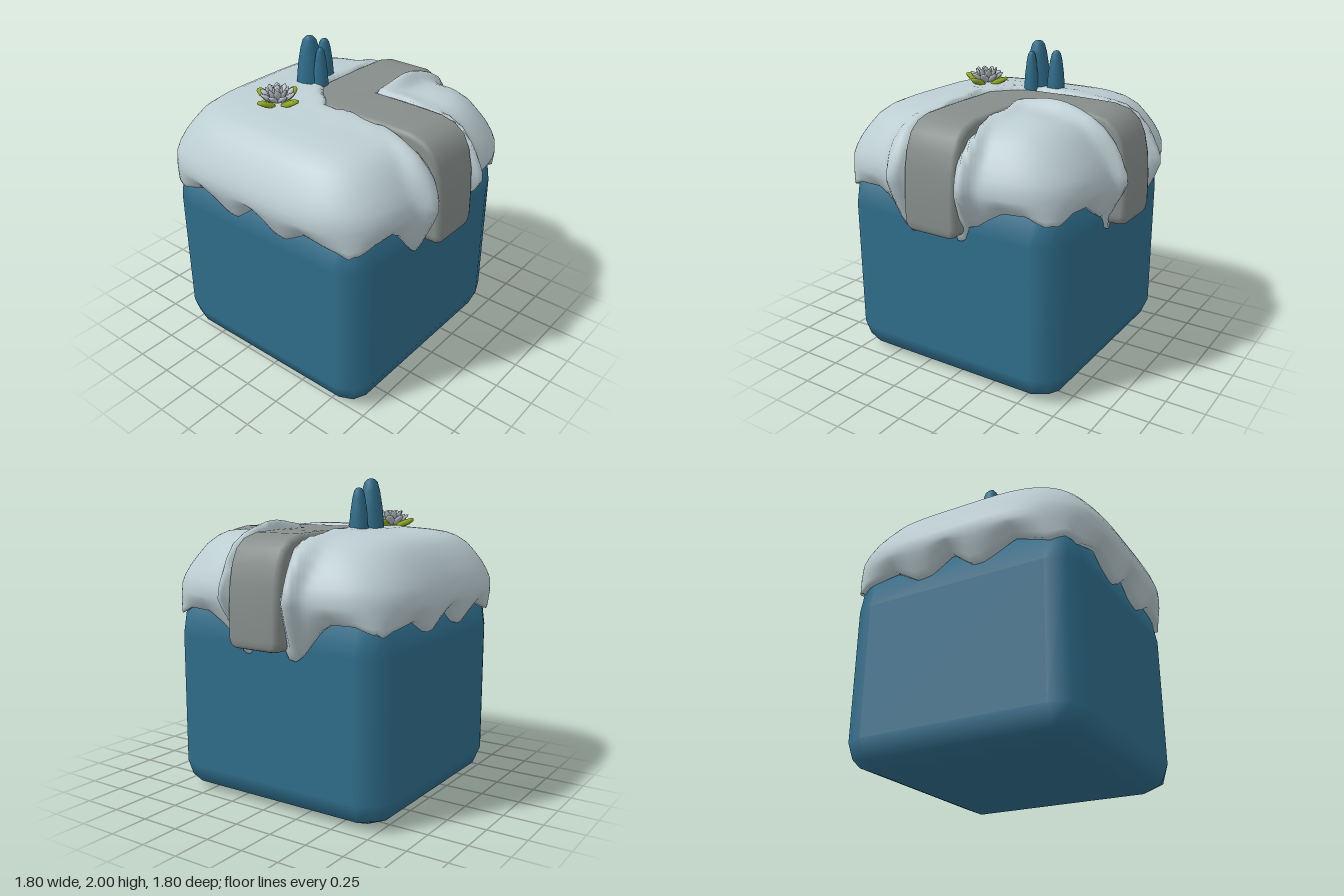
import * as THREE from 'three';
import { RoundedBoxGeometry } from 'three/addons/geometries/RoundedBoxGeometry.js';

const paint = (name, color, side = THREE.FrontSide) => {
  const m = new THREE.MeshStandardMaterial({ color, side });
  m.name = name;
  return m;
};
const { smoothstep, lerp } = THREE.MathUtils;
const gauss = (x, w) => Math.exp(-((x / w) ** 2));

// Straight-line lookup in a list of [position, value]
function lookup(table, x) {
  if (x <= table[0][0]) return table[0][1];
  for (let i = 1; i < table.length; i++) {
    const [x0, y0] = table[i - 1], [x1, y1] = table[i];
    if (x <= x1) return lerp(y0, y1, (x - x0) / (x1 - x0));
  }
  return table[table.length - 1][1];
}

// Surface from rows and columns of points
function grid(rows, cols, point, closed = false, flip = false) {
  const pos = [], index = [];
  for (let i = 0; i < rows; i++) for (let j = 0; j < cols; j++) pos.push(...point(i, j));
  for (let i = 0; i < rows - 1; i++) {
    for (let j = 0; j < (closed ? cols : cols - 1); j++) {
      const k = (j + 1) % cols;
      const a = i * cols + j, b = a + cols, c = i * cols + k, d = c + cols;
      if (flip) index.push(a, b, c, c, b, d);
      else index.push(a, c, b, c, d, b);
    }
  }
  const g = new THREE.BufferGeometry();
  g.setAttribute('position', new THREE.Float32BufferAttribute(pos, 3));
  g.setIndex(index);
  g.computeVertexNormals();
  return g;
}

const CX = -0.037, CZ = 0.037;

// Hem heights: scalloped on the plain sides, with long drips beside the path
const plainHem = [[-0.78, 1.18], [-0.73, 1.16], [-0.66, 1.14], [-0.6, 1.16], [-0.45, 1.21], [-0.24, 1.11],
  [-0.17, 1.11], [-0.03, 1.22], [0.13, 1.12], [0.22, 1.11], [0.37, 1.2], [0.6, 1.17], [0.66, 1.14], [0.71, 1.18]];
const pathHem = [[-0.72, 1.18], [-0.66, 1.16], [-0.55, 1.21], [-0.4, 1.2], [-0.3, 1.14], [-0.23, 1.09],
  [-0.16, 1.07], [-0.13, 0.97], [-0.08, 0.97], [-0.04, 1.1], [0.15, 1.1], [0.2, 0.97], [0.26, 0.96],
  [0.31, 1.0], [0.42, 1.15], [0.5, 1.2], [0.65, 1.2], [0.75, 1.16], [0.8, 1.18]];

// Signed distance to the L of the path, negative inside
function pathDistance(x, z) {
  const box = (px, pz) => {
    const a = -0.2 - px, b = Math.abs(pz - 0.035) - 0.182;
    return a > 0 && b > 0 ? Math.hypot(a, b) : Math.max(a, b);
  };
  return Math.max(Math.min(box(x, z), box(-z, -x)), (z - x - 0.2) * 0.707);
}

function snowGeometry() {
  // Radius and height from the middle of the top to the widest ring
  const rise = [[0, 1.7], [0.35, 1.69], [0.52, 1.67], [0.6, 1.655], [0.66, 1.63], [0.72, 1.585],
    [0.77, 1.52], [0.81, 1.46], [0.84, 1.4], [0.857, 1.35], [0.86, 1.3]];
  const profile = [];
  for (let i = 0; i < 22; i++) profile.push([0.001 + i * 0.025, lookup(rise, i * 0.025), 0]);
  rise.slice(3).forEach(([r, y]) => profile.push([r, y, 0]));
  // Skirt below the widest ring, then a lip tucked inwards
  profile.push([0.848, 0, 0.25], [0.828, 0, 0.5], [0.803, 0, 0.78], [0.782, 0, 1], [0.745, 0, 0.97]);
  const per = 64;
  return grid(profile.length, per * 4, (i, j) => {
    const [r, y0, f] = profile[i];
    const side = Math.floor(j / per), t = ((j % per) / per) * 2 - 1;
    // Skirt corners stay upright while its sides draw in
    const n = f > 0 ? Math.min(Math.LN2 / Math.log(r / 0.725), 12) : 4;
    const s = 1 / (1 + Math.abs(t) ** n) ** (1 / n);
    let dx = s, dz = t * s;
    for (let k = 0; k < side; k++) [dx, dz] = [-dz, dx];
    const x = CX + dx * r, z = CZ + dz * r;
    const hem = [() => lookup(pathHem, z), () => lookup(plainHem, x),
      () => lookup(plainHem, -z), () => lookup(pathHem, -x)][side]();
    let y = f > 0 ? lerp(1.3, hem, f) : y0;
    // Channel under the path and raised banks along it, narrower on the inner corner
    const d = pathDistance(x, z) + 0.014 * Math.sin(x * 23) * Math.sin(z * 19 + 1);
    const inside = 1 - smoothstep(d, -0.04, 0.01);
    const onSide = smoothstep(r, 0.58, 0.8);
    const inner = x > 0.1 && z < -0.1;
    const bank = (inner ? gauss(d - 0.025, 0.055) : gauss(d - 0.05, 0.075)) * (1 - inside);
    const out = onSide * (bank * 0.08 * (1 - f) - inside * 0.05 * (1 - f));
    if (f === 0) {
      y += (1 - onSide) * (bank * 0.012 - inside * 0.06);
      y += gauss(r - 0.71, 0.1) * (bank * 0.02 - inside * 0.03);
      // Ridge on the back corner
      y += 0.055 * gauss(z + 0.43, 0.22) * gauss(x - 0.175, 0.06) * (1 - inside);
      y += 0.02 * smoothstep(x, 0.25, 0.5) * smoothstep(-z, 0.25, 0.45) * (1 - onSide);
    }
    return [x + dx * out, y, z + dz * out];
  }, true);
}

// One arm of the path, mitred at the bend; the other arm is its mirror image
function pathArm(mirrored) {
  const across = [[-0.15, 0.12], [-0.15, 0.03], [-0.14, 0.008], [-0.12, 0], [0.1, 0], [0.18, 0],
    [0.205, 0.008], [0.215, 0.03], [0.215, 0.12]];
  // Each row: x, y, the outward direction, and how far the sides draw in
  const along = [[null, 1.69, 0, 1, 0], [0.4, 1.69, 0, 1, 0], [0.62, 1.685, 0.1, 1, 0], [0.72, 1.66, 0.35, 0.94, 0],
    [0.79, 1.605, 0.7, 0.71, 0], [0.832, 1.52, 0.92, 0.4, 0], [0.858, 1.4, 0.98, 0.2, 0], [0.87, 1.25, 1, 0, 0],
    [0.872, 1.08, 1, 0, 0], [0.868, 1.045, 1, 0, 0.008], [0.86, 1.025, 1, 0, 0.025], [0.84, 1.018, 1, 0, 0.035],
    [0.72, 1.018, 0, 0, 0.035]];
  return grid(along.length, across.length, (i, j) => {
    const [x0, y0, nx, ny, pinch] = along[i], [z0, drop] = across[j];
    const z = z0 - Math.sign(z0 - 0.035) * pinch;
    const x = (x0 === null ? Math.max(-z, z - 0.2) : x0) - nx * drop;
    const y = y0 - ny * drop;
    return mirrored ? [-z, y, -x] : [x, y, z];
  }, false, mirrored);
}

// Rounded square spike
function spikeGeometry(r, h) {
  const pts = [[0.97, 0], [1, 0.2], [0.88, 0.5], [0.68, 0.78], [0.5, 0.93], [0.28, 0.985], [0.001, 1]]
    .map(([a, b]) => new THREE.Vector2(a * r, b * h));
  const g = new THREE.LatheGeometry(pts, 8);
  const p = g.attributes.position;
  for (let i = 0; i < p.count; i++) {
    const x = p.getX(i), z = p.getZ(i);
    const k = Math.min(Math.abs(x), Math.abs(z)) > 0.3 * Math.hypot(x, z) ? 1.22 : 1;
    p.setXYZ(i, x * k, p.getY(i), z * k);
  }
  g.computeVertexNormals();
  return g;
}

export function createModel() {
  const model = new THREE.Group();
  const ice = paint('blue ice', 0x2f6d8b);
  const snowMat = paint('snow', 0xbccdd2, THREE.DoubleSide);
  const stone = paint('path grey', 0x868d8a, THREE.DoubleSide);
  const leafMat = paint('leaf green', 0x94ad22);
  const petalMat = paint('petal grey', 0xb8c0c5);
  const add = (name, geometry, material, parent = model) => {
    const m = new THREE.Mesh(geometry, material);
    m.name = name;
    parent.add(m);
    return m;
  };

  // Block, its hidden top rounding drawn upwards
  const block = new RoundedBoxGeometry(1.54, 1.19, 1.54, 1, 0.17);
  block.translate(CX, 0.595, CZ);
  const p = block.attributes.position;
  for (let i = 0; i < p.count; i++) {
    if (p.getY(i) > 1.02) p.setY(i, 1.02 + (p.getY(i) - 1.02) * 2.2);
  }
  add('iceBlock', block, ice);

  add('snowCap', snowGeometry(), snowMat);
  add('pathRight', pathArm(false), stone);
  add('pathBack', pathArm(true), stone);

  // Ice spikes
  [[-0.298, -0.003, 0.07, 2.0], [-0.21, -0.005, 0.04, 1.94], [-0.295, -0.14, 0.05, 1.945]].forEach(([x, z, r, top]) => {
    add('iceSpike', spikeGeometry(r, top - 1.64), ice).position.set(x, 1.64, z);
  });

  // Flower: rings of pointed leaves and petals
  const flower = new THREE.Group();
  flower.name = 'flower';
  flower.position.set(-0.235, 1.665, 0.367);
  model.add(flower);
  const ring = (name, mat, count, turn, length, width, tilt, lift, start) => {
    for (let i = 0; i < count; i++) {
      const g = new THREE.SphereGeometry(1, 6, 5);
      g.scale(width, length / 2, width * 0.5);
      g.translate(0, length / 2, 0);
      g.rotateX(tilt);
      g.translate(0, lift, start);
      g.rotateY(turn + (i / count) * Math.PI * 2);
      add(name, g, mat, flower);
    }
  };
  ring('leaf', leafMat, 4, 0, 0.15, 0.042, 1.15, 0.012, 0.03);
  ring('outerPetal', petalMat, 8, Math.PI / 8, 0.115, 0.031, 0.95, 0.03, 0.018);
  ring('middlePetal', petalMat, 8, 0, 0.115, 0.025, 0.55, 0.028, 0.012);
  ring('innerPetal', petalMat, 4, Math.PI / 4, 0.105, 0.022, 0.2, 0.025, 0.008);
  return model;
}
